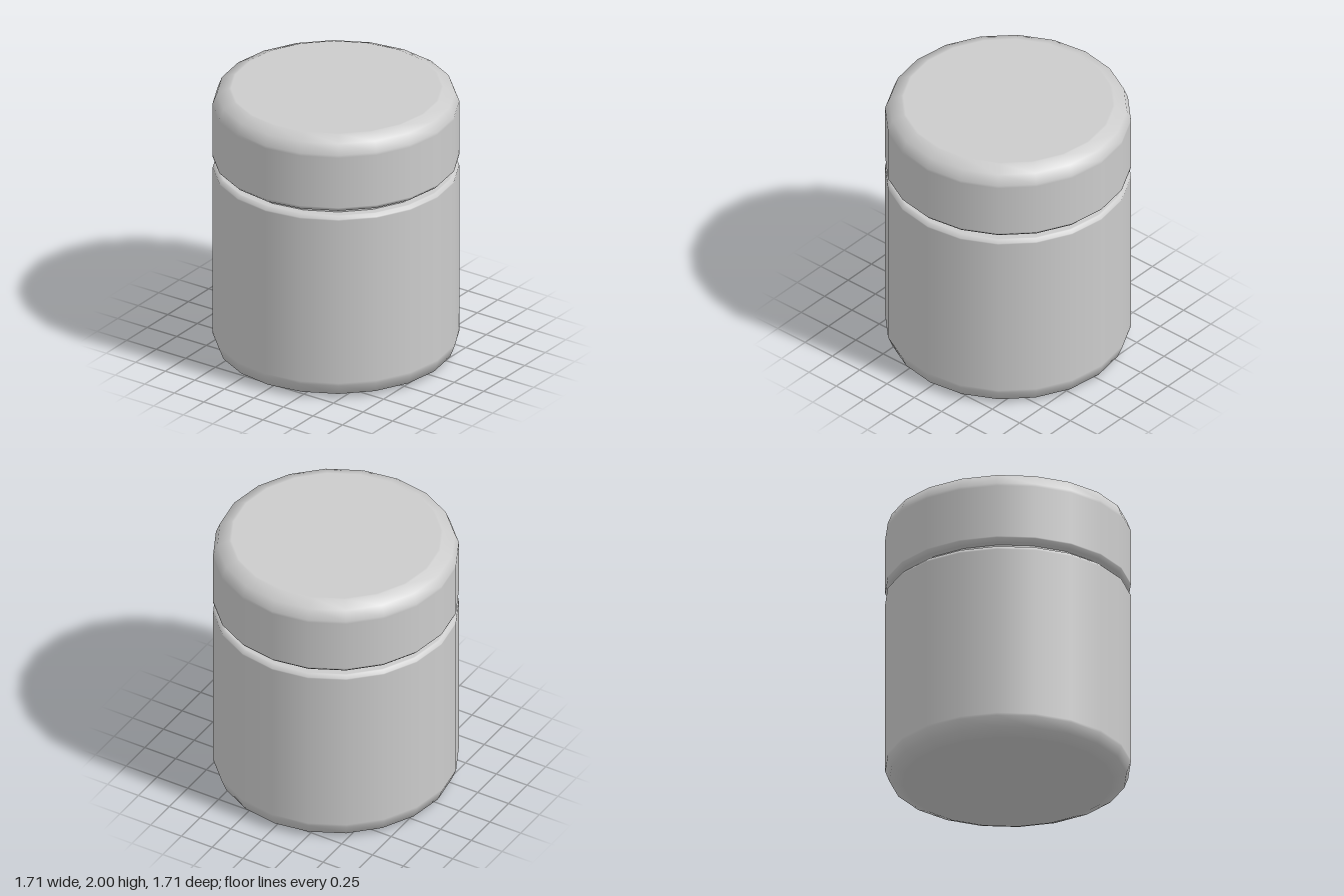
import * as THREE from 'three';

const SIDES = 20;
const RADIUS = 0.857;
const NECK = 0.775;

// Revolve a [radius, height] profile, listed from bottom to top
function turned(name, profile, material) {
  const points = profile.map(([r, y]) => new THREE.Vector2(r, y));
  const mesh = new THREE.Mesh(new THREE.LatheGeometry(points, SIDES), material);
  mesh.name = name;
  return mesh;
}

export function createModel() {
  const group = new THREE.Group();
  group.name = 'lidded jar';
  const material = new THREE.MeshStandardMaterial({ color: 0xcccccc });

  // Outer end: flat face, rounded rim, then wall (distance is measured from the end).
  // The close extra points keep the flat face and wall evenly shaded.
  const roundedEnd = [[0, 0], [0.73, 0], [0.745, 0], [0.828, 0.035], [RADIUS, 0.11], [RADIUS, 0.13]];
  // Inner end: wall, small bevel, ledge running in to the neck
  const ledgeEnd = [[RADIUS, 0.03], [RADIUS, 0.02], [0.838, 0], [0.825, 0], [NECK - 0.01, 0]];

  // Body
  group.add(turned('body', [
    ...roundedEnd,
    ...ledgeEnd.map(([r, d]) => [r, 1.414 - d]),
  ], material));

  // Recessed neck in the gap
  group.add(turned('neck', [[NECK, 1.40], [NECK, 1.47]], material));

  // Lid
  group.add(turned('lid', [
    ...ledgeEnd.map(([r, d]) => [r, 1.454 + d]).reverse(),
    ...roundedEnd.map(([r, d]) => [r, 2 - d]).reverse(),
  ], material));

  return group;
}
